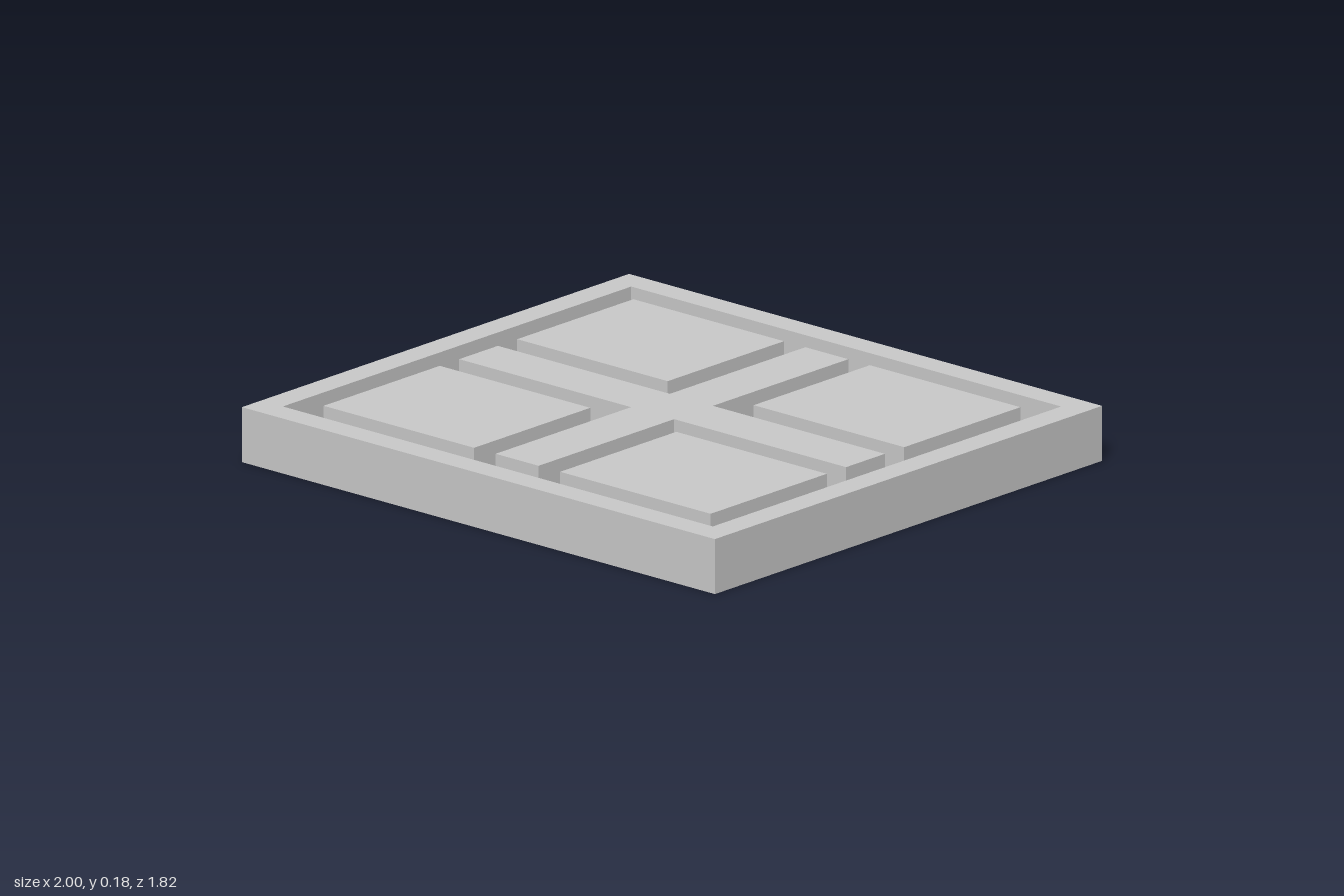
import * as THREE from 'three';

const U = 1 / 11; // module: rim width, gap and relief height
const mat = new THREE.MeshStandardMaterial({ color: 0xcccccc, flatShading: true });

const rect = (Type, hx, hy) => new Type([
  [-hx, -hy], [hx, -hy], [hx, hy], [-hx, hy],
].map(([x, y]) => new THREE.Vector2(x, y)));

// Raises a plan outline from the recess floor up to the rim height
function raised(name, shape) {
  const geo = new THREE.ExtrudeGeometry(shape, { depth: U, bevelEnabled: false });
  geo.rotateX(-Math.PI / 2);
  const mesh = new THREE.Mesh(geo, mat);
  mesh.name = name;
  mesh.position.y = U;
  return mesh;
}

export function createModel() {
  const group = new THREE.Group();
  group.name = 'panelledTile';

  // Solid lower slab, its top is the recess floor
  const base = new THREE.Mesh(new THREE.BoxGeometry(22 * U, U, 20 * U), mat);
  base.name = 'base';
  base.position.y = U / 2;
  group.add(base);

  // Border around the recess
  const frame = rect(THREE.Shape, 11 * U, 10 * U);
  frame.holes.push(rect(THREE.Path, 10 * U, 9 * U));
  group.add(raised('rim', frame));

  // Central cross in one piece
  const a = U, x = 9 * U, z = 8 * U;
  const cross = new THREE.Shape([
    [a, -z], [a, -a], [x, -a], [x, a], [a, a], [a, z],
    [-a, z], [-a, a], [-x, a], [-x, -a], [-a, -a], [-a, -z],
  ].map(([px, py]) => new THREE.Vector2(px, py)));
  group.add(raised('cross', cross));

  // Four raised panels between the arms
  for (const sx of [-1, 1]) for (const sz of [-1, 1]) {
    const panel = raised(`${sz > 0 ? 'front' : 'back'}${sx > 0 ? 'Left' : 'Right'}Panel`,
      rect(THREE.Shape, 3.5 * U, 3 * U));
    panel.position.x = sx * 5.5 * U;
    panel.position.z = sz * 5 * U;
    group.add(panel);
  }
  return group;
}
